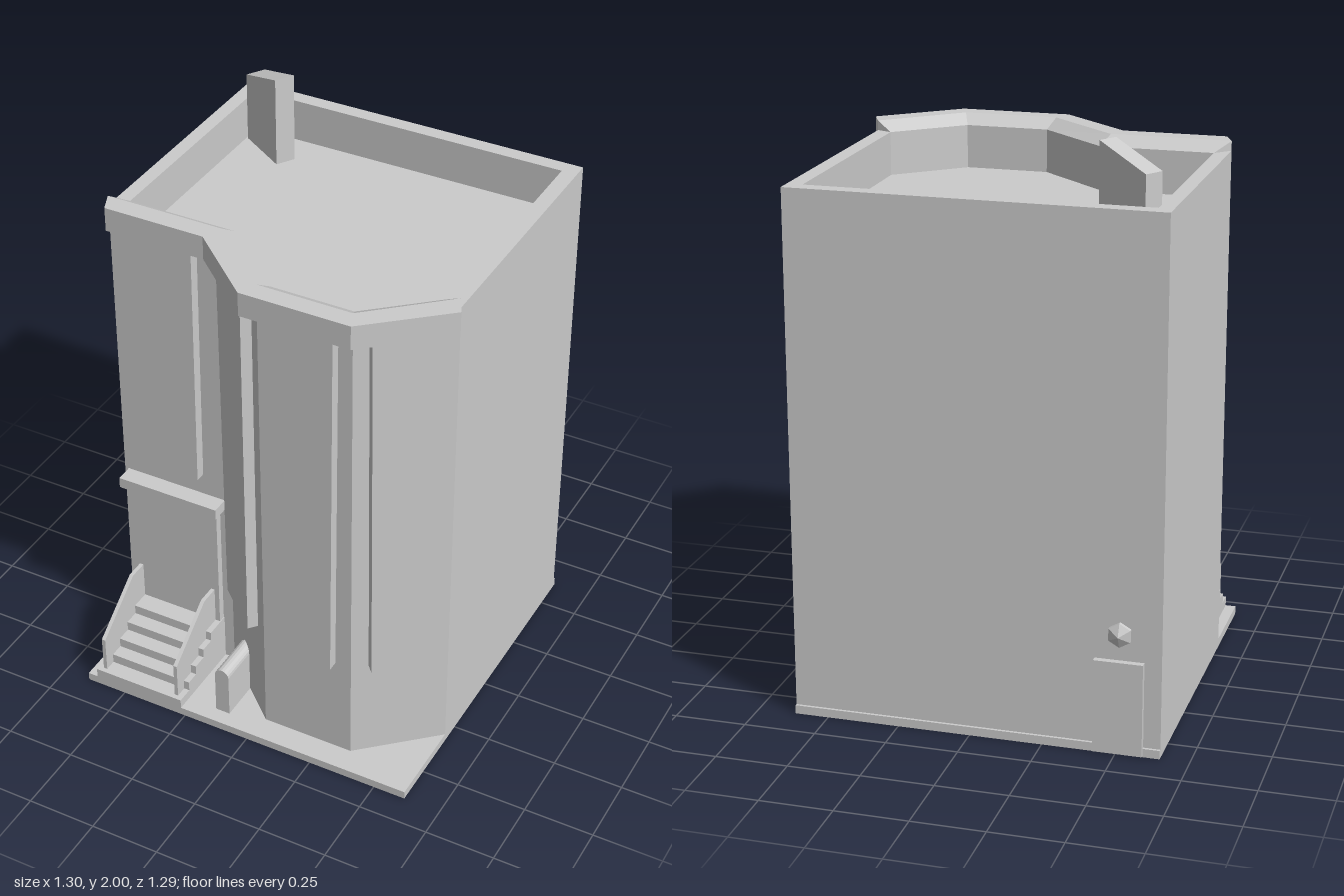
import * as THREE from 'three';

const mat = new THREE.MeshStandardMaterial({ color: 0xcccccc, flatShading: true, side: THREE.DoubleSide });

export function createModel() {
  const model = new THREE.Group();

  function add(name, geometry, x = 0, y = 0, z = 0) {
    const mesh = new THREE.Mesh(geometry, mat);
    mesh.name = name;
    mesh.position.set(x, y, z);
    model.add(mesh);
    return mesh;
  }

  // box given by its limits on each axis
  function block(name, x0, x1, y0, y1, z0, z1) {
    return add(name, new THREE.BoxGeometry(x1 - x0, y1 - y0, z1 - z0),
      (x0 + x1) / 2, (y0 + y1) / 2, (z0 + z1) / 2);
  }

  // upright prism from a plan of [x, z] points, with an optional hole
  function prism(name, plan, y0, y1, hole) {
    const toVec = ([x, z]) => new THREE.Vector2(x, -z);
    const shape = new THREE.Shape(plan.map(toVec));
    if (hole) shape.holes.push(new THREE.Path(hole.map(toVec)));
    const g = new THREE.ExtrudeGeometry(shape, { depth: y1 - y0, bevelEnabled: false });
    g.rotateX(-Math.PI / 2);
    return add(name, g, 0, y0, 0);
  }

  // plan lines of the facade: wall face, inner parapet face, cornice edge
  const wall = [[-0.65, 0.328], [-0.228, 0.328], [0.028, 0.555], [0.363, 0.555], [0.617, 0.328]];
  const inner = [[-0.6, 0.275], [-0.205, 0.275], [0.047, 0.5], [0.34, 0.5], [0.563, 0.305]];
  const edge = [[-0.62, 0.397], [-0.255, 0.397], [0, 0.621], [0.39, 0.621], [0.649, 0.397]];

  // ground slab, hollow underneath: its bottom face is raised to the underside of the top
  const slab = block('baseSlab', -0.65, 0.617, 0, 0.03, -0.62, 0.645);
  const sp = slab.geometry.attributes.position;
  const sn = slab.geometry.attributes.normal;
  for (let k = 0; k < sp.count; k++) {
    if (sn.getY(k) < -0.5) sp.setY(k, 0.0135);
  }

  // main block and roof parapet
  const footprint = [...wall, [0.617, -0.61], [-0.65, -0.61]];
  prism('building', footprint, 0.03, 1.673);
  prism('parapet', footprint, 1.673, 1.826, [...inner, [0.563, -0.557], [-0.6, -0.557]]);

  // cornice: one profile swept along the facade
  const sections = wall.map((w, i) => [
    [w, 1.774], [edge[i], 1.774], [edge[i], 1.86], [w, 1.86], [inner[i], 1.826],
  ].map(([p, y]) => [p[0], y, p[1]]));
  const n = 5, index = [], last = (sections.length - 1) * n;
  for (let i = 0; i < sections.length - 1; i++) {
    for (let j = 0; j < n; j++) {
      const a = i * n + j, d = i * n + (j + 1) % n;
      index.push(a, a + n, d + n, a, d + n, d);
    }
  }
  for (let j = 1; j < n - 1; j++) {
    index.push(0, j, j + 1, last, last + j + 1, last + j);
  }
  const cornice = new THREE.BufferGeometry();
  cornice.setAttribute('position', new THREE.Float32BufferAttribute(sections.flat(2), 3));
  cornice.setIndex(index);
  const corniceFlat = cornice.toNonIndexed();
  corniceFlat.computeVertexNormals();
  add('cornice', corniceFlat);

  // tall window bays, narrowing slightly downwards
  [[0, 0.834], [1, 0.415], [2, 0.415], [3, 0.415]].forEach(([i, y0]) => {
    const [ax, az] = wall[i], [bx, bz] = wall[i + 1];
    const h = 1.79 - y0;
    const g = new THREE.BoxGeometry(0.236, h, 0.076);
    const p = g.attributes.position;
    for (let k = 0; k < p.count; k++) {
      if (p.getY(k) < 0) p.setX(k, p.getX(k) * 0.92);
    }
    add('windowBay', g, (ax + bx) / 2, y0 + h / 2, (az + bz) / 2)
      .rotation.y = -Math.atan2(bz - az, bx - ax);
  });

  // front entrance
  block('entrancePanel', -0.61, -0.268, 0.03, 0.71, 0.3, 0.355);
  block('entranceCanopy', -0.635, -0.248, 0.71, 0.75, 0.3, 0.392);

  // entrance steps
  [0.645, 0.585, 0.535, 0.48, 0.425].forEach((z, i) => {
    const y = 0.065 + i * 0.036;
    block('step', -0.613, -0.265, i ? y - 0.036 : 0.03, y, 0.32, z);
  });

  // stair side walls
  for (const x of [-0.595, -0.3]) {
    const side = new THREE.Shape([[0.627, 0.04], [0.627, 0.2], [0.425, 0.35], [0.32, 0.35], [0.32, 0.04]]
      .map(([z, y]) => new THREE.Vector2(-z, y)));
    const g = new THREE.ExtrudeGeometry(side, { depth: 0.014, bevelEnabled: false });
    g.rotateY(Math.PI / 2);
    add('stairSideWall', g, x, 0, 0);
  }

  // small round-topped block beside the stairs
  const arch = new THREE.Shape();
  arch.moveTo(-0.027, 0);
  arch.lineTo(0.027, 0);
  arch.lineTo(0.027, 0.165);
  arch.absarc(0, 0.165, 0.027, 0, Math.PI);
  arch.closePath();
  add('archedBlock', new THREE.ExtrudeGeometry(arch, { depth: 0.18, bevelEnabled: false, curveSegments: 4 }),
    -0.126, 0.03, 0.41);

  // back door and six-sided lamp
  block('backDoor', -0.592, -0.425, 0.005, 0.33, -0.632, -0.605);
  const lampBase = new THREE.CylinderGeometry(0.042, 0.042, 0.022, 6);
  lampBase.rotateX(-Math.PI / 2);
  add('lampBase', lampBase, -0.51, 0.422, -0.613);
  const lampTip = new THREE.ConeGeometry(0.042, 0.021, 6);
  lampTip.rotateX(-Math.PI / 2);
  add('lampTip', lampTip, -0.51, 0.422, -0.6345);

  // roof chimney with a slanted top
  const chimney = new THREE.BoxGeometry(0.207, 0.34, 0.072);
  const cp = chimney.attributes.position;
  for (let k = 0; k < cp.count; k++) {
    if (cp.getY(k) > 0 && cp.getX(k) < 0) cp.setY(k, 0.095);
  }
  add('chimney', chimney, -0.4875, 1.83, -0.46).rotation.y = -0.561;

  return model;
}
